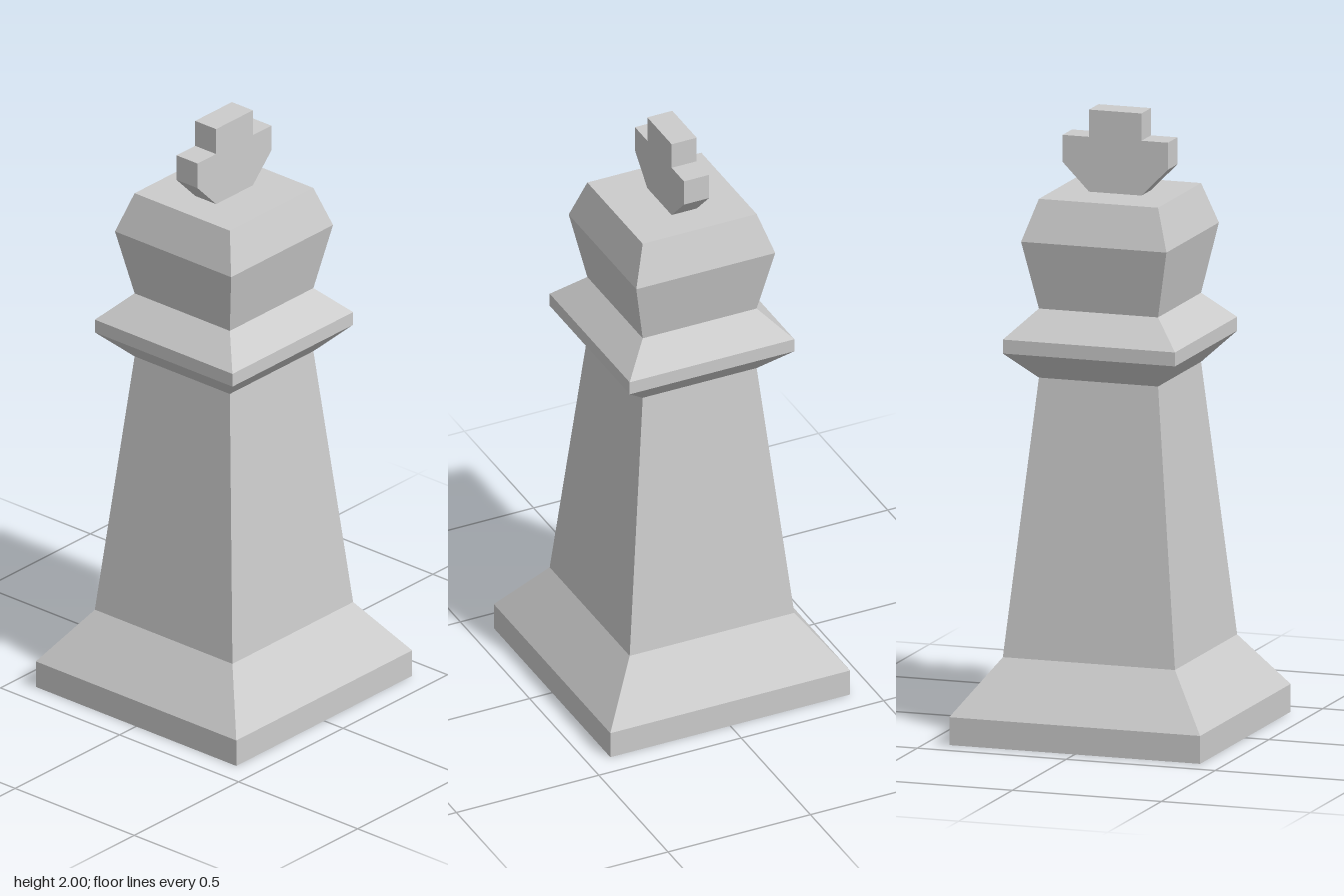
import * as THREE from 'three';

const material = new THREE.MeshStandardMaterial({ color: 0xcccccc, flatShading: true });

// Square-section solid from [half width, height] pairs, listed bottom to top
function squareTurned(name, profile) {
  const points = profile.map(([w, y]) => new THREE.Vector2(w * Math.SQRT2, y));
  const geometry = new THREE.LatheGeometry(points, 4, Math.PI / 4).toNonIndexed();
  geometry.computeVertexNormals();
  const mesh = new THREE.Mesh(geometry, material);
  mesh.name = name;
  return mesh;
}

// Flat cross with chamfered lower arms, extruded front to back
function createCross() {
  const depth = 0.088;
  const right = [[0.088, 1.735], [0.177, 1.825], [0.177, 1.912], [0.088, 1.912], [0.088, 2]];
  const left = right.map(([x, y]) => [-x, y]).reverse();
  const shape = new THREE.Shape([...right, ...left].map(([x, y]) => new THREE.Vector2(x, y)));
  const geometry = new THREE.ExtrudeGeometry(shape, { depth, bevelEnabled: false });
  geometry.translate(0, 0, -depth / 2);
  const mesh = new THREE.Mesh(geometry, material);
  mesh.name = 'cross';
  return mesh;
}

export function createModel() {
  const model = new THREE.Group();
  model.name = 'chessKing';
  model.add(
    // Plinth with sloping top, closed underneath
    squareTurned('base', [[0, 0], [0.421, 0], [0.421, 0.09], [0.289, 0.267]]),
    // Tapering column
    squareTurned('shaft', [[0.289, 0.267], [0.2, 1.158]]),
    // Flared ring below the head
    squareTurned('collar', [[0.2, 1.158], [0.289, 1.247], [0.289, 1.292], [0.2, 1.381]]),
    // Head, closed on top
    squareTurned('head', [[0.2, 1.381], [0.244, 1.602], [0.2, 1.735], [0, 1.735]]),
    createCross()
  );
  return model;
}
